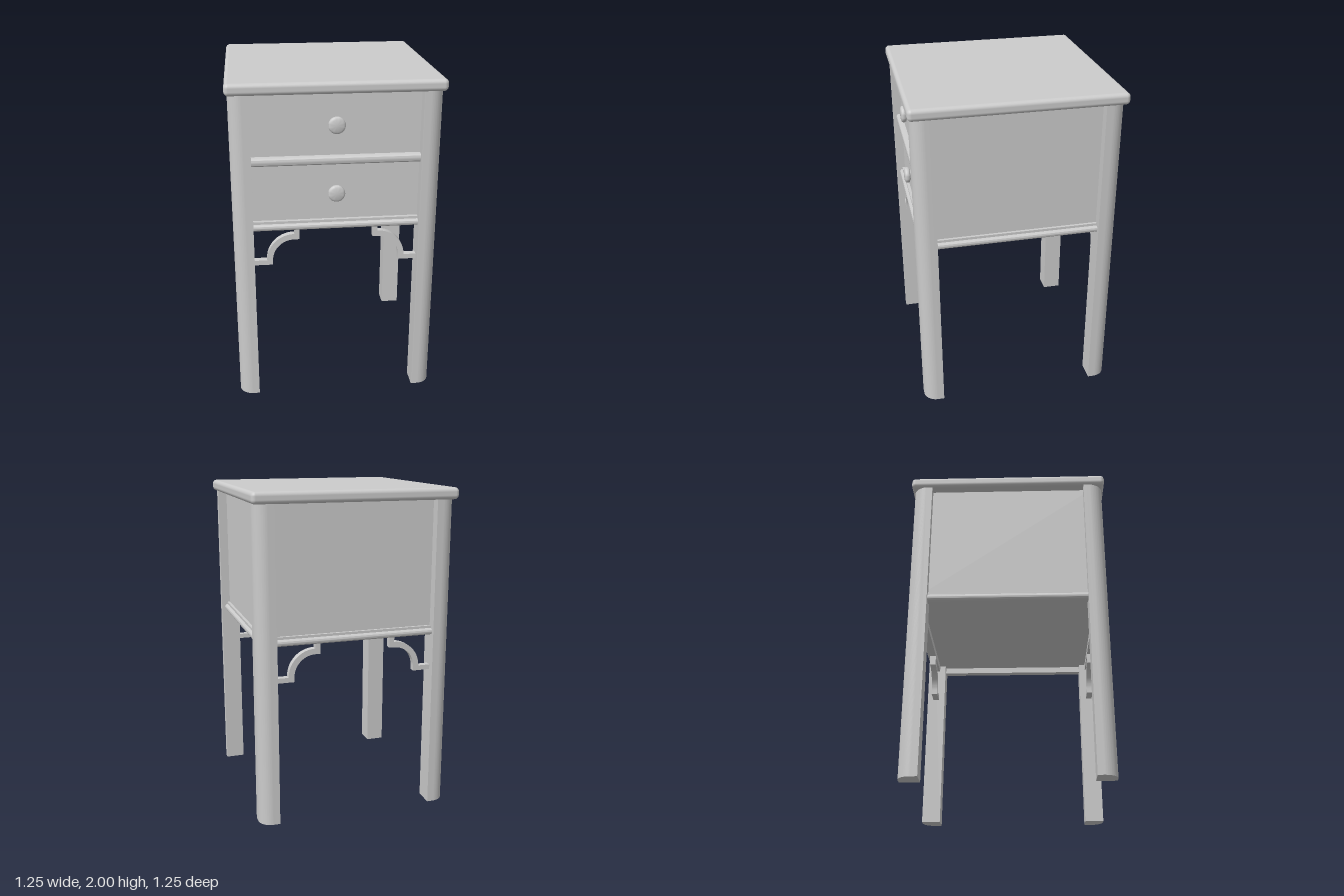
import * as THREE from 'three';
import { toCreasedNormals } from 'three/addons/utils/BufferGeometryUtils.js';
import { RoundedBoxGeometry } from 'three/addons/geometries/RoundedBoxGeometry.js';

const material = new THREE.MeshStandardMaterial({ color: 0xcccccc });

function createPart(name, geometry, parent) {
  const mesh = new THREE.Mesh(geometry, material);
  mesh.name = name;
  parent.add(mesh);
  return mesh;
}

// Extrude a shape, centred on its depth, with smooth curves and sharp edges
function extrude(shape, depth) {
  const g = new THREE.ExtrudeGeometry(shape, { depth, bevelEnabled: false, curveSegments: 12 });
  g.translate(0, 0, -depth / 2);
  return toCreasedNormals(g, 0.6);
}

// Square leg with its outer corner rounded, in plan
function legGeometry(height) {
  const a = 0.49, b = 0.61, r = 0.08;
  const s = new THREE.Shape();
  s.moveTo(a, a);
  s.lineTo(b, a);
  s.lineTo(b, b - r);
  s.absarc(b - r, b - r, r, 0, Math.PI / 2, false);
  s.lineTo(a, b);
  s.closePath();
  return extrude(s, height).rotateX(-Math.PI / 2).translate(0, height / 2, 0);
}

// Rail with a softly rounded nose; an optional thin bead sits above it
function railGeometry(y0, y1, bead) {
  const r = 0.018, front = 0.59, back = 0.53;
  const s = new THREE.Shape();
  s.moveTo(back, y0);
  s.lineTo(front - r, y0);
  s.absarc(front - r, y0 + r, r, -Math.PI / 2, 0, false);
  s.absarc(front - r, y1 - r, r, 0, Math.PI / 2, false);
  if (bead) {
    s.lineTo(front - r, y1 + bead);
    s.lineTo(back, y1 + bead);
  } else s.lineTo(back, y1);
  s.closePath();
  return extrude(s, 0.98).rotateY(-Math.PI / 2);
}

// Curved corner bracket with a stepped tab at each end
function bracketGeometry() {
  const cx = 0.25, cy = 0.915;
  const s = new THREE.Shape();
  s.moveTo(0.22, 1.115);
  s.lineTo(0.22, cy + 0.13);
  s.lineTo(cx, cy + 0.13);
  s.absarc(cx, cy, 0.13, Math.PI / 2, 0, true);
  s.lineTo(0.38, 0.885);
  s.lineTo(0.495, 0.885);
  s.lineTo(0.495, cy);
  s.lineTo(cx + 0.165, cy);
  s.absarc(cx, cy, 0.165, 0, Math.PI / 2, false);
  s.lineTo(cx, 1.115);
  s.closePath();
  return extrude(s, 0.04);
}

// Turned knob, lying along z
function knobGeometry() {
  const profile = [[0, 0], [0.032, 0], [0.032, 0.015], [0.046, 0.02], [0.05, 0.027],
    [0.05, 0.038], [0.046, 0.045], [0.036, 0.05], [0, 0.05]];
  const g = new THREE.LatheGeometry(profile.map(([x, y]) => new THREE.Vector2(x, y)), 32);
  return toCreasedNormals(g.rotateX(Math.PI / 2), 0.6);
}

export function createModel() {
  const model = new THREE.Group();
  model.name = 'bedsideTable';

  createPart('tableTop', new RoundedBoxGeometry(1.25, 0.07, 1.25, 5, 0.025), model).position.y = 1.965;
  createPart('cabinet', new THREE.BoxGeometry(1.11, 0.785, 1.1), model).position.set(0, 1.5425, -0.005);

  // Legs and bottom rails, one per quarter turn
  const leg = legGeometry(1.94);
  const bottomRail = railGeometry(1.11, 1.15, 0.015);
  for (let i = 0; i < 4; i++) {
    createPart('leg', leg, model).rotation.y = i * Math.PI / 2;
    createPart('bottomRail', bottomRail, model).rotation.y = i * Math.PI / 2;
  }

  // Drawers with knobs, divided by a rail
  createPart('drawerDivider', railGeometry(1.51, 1.56, 0), model);
  const knob = knobGeometry();
  for (const [bottom, top, knobY] of [[1.168, 1.508, 1.335], [1.562, 1.922, 1.745]]) {
    const drawer = new THREE.Group();
    drawer.name = 'drawer';
    createPart('drawerFront', new THREE.BoxGeometry(0.978, top - bottom, 0.03), drawer)
      .position.set(0, (top + bottom) / 2, 0.54);
    createPart('knob', knob, drawer).position.set(0, knobY, 0.554);
    model.add(drawer);
  }

  // Brackets under the front and back rails
  const bracket = bracketGeometry();
  for (const z of [0.55, -0.55]) {
    for (const turn of [0, Math.PI]) {
      const mesh = createPart('bracket', bracket, model);
      mesh.position.z = z;
      mesh.rotation.y = turn;
    }
  }
  return model;
}
